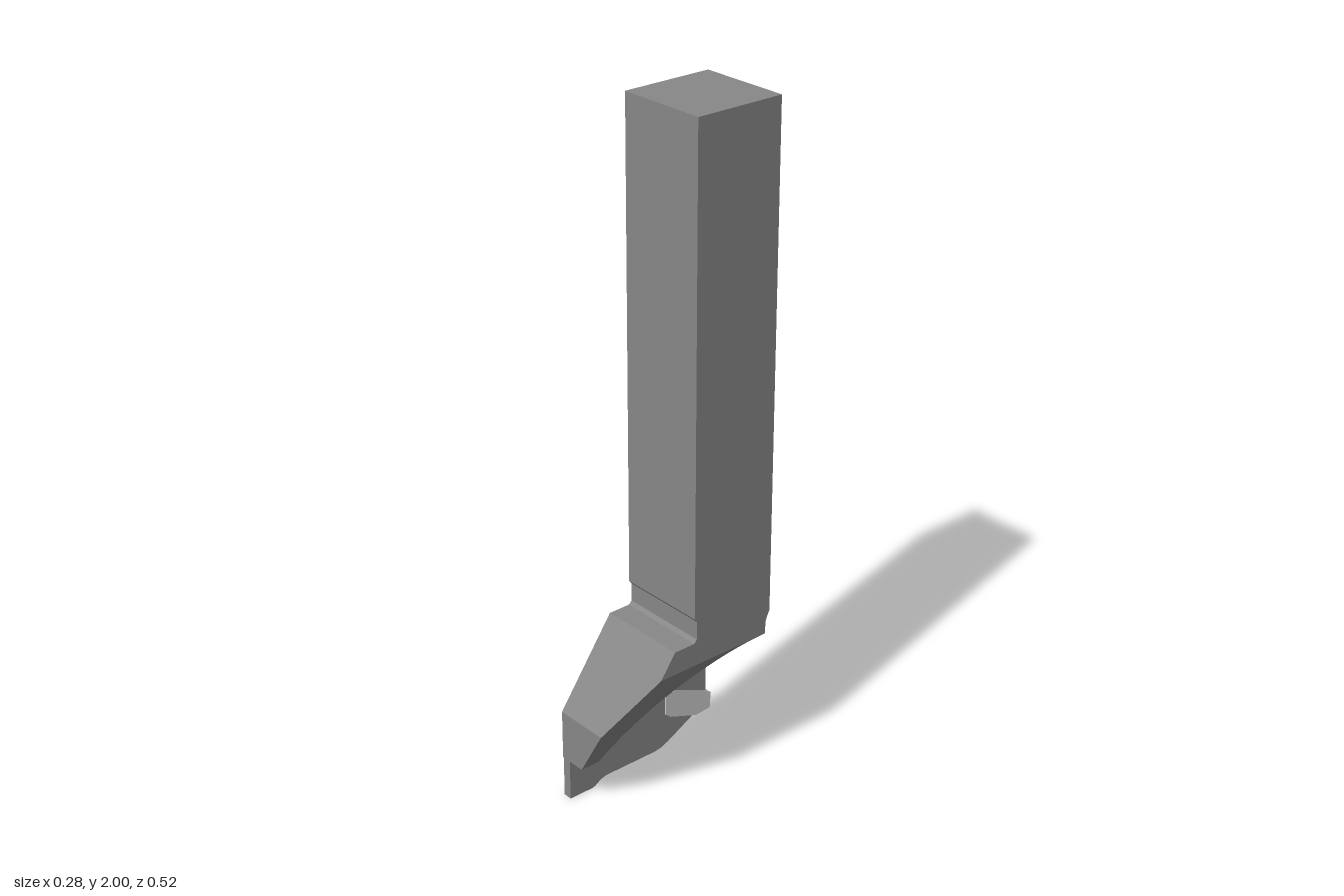
import * as THREE from 'three';
import { toCreasedNormals } from 'three/addons/utils/BufferGeometryUtils.js';
import { ParametricGeometry } from 'three/addons/geometries/ParametricGeometry.js';

const LEFT = 0.137, RIGHT = -0.138;        // width of the shank
const BLADE_OUT = -0.135, BLADE_IN = -0.108; // thin blade faces
const ARC = { z: -0.24, y: -0.003, r: 0.458, a0: 0.283, a1: Math.PI / 2 };

// Point of the pocket arc, as [z, y]
const arcPoint = (t, r = ARC.r) => {
  const a = THREE.MathUtils.lerp(ARC.a0, ARC.a1, t);
  return [ARC.z + r * Math.cos(a), ARC.y + r * Math.sin(a)];
};
const arcPoints = Array.from({ length: 33 }, (_, i) => arcPoint(i / 32));

// Sloping underside of the head: x limit at height y
const slopeX = (y) => LEFT - 0.192 * (0.455 - y) / 0.33;

// Side profile of [z, y] points, extruded across x; farX may tilt the far face
function slab(name, profile, x0, x1, material, farX) {
  const shape = new THREE.Shape(profile.map(([z, y]) => new THREE.Vector2(-z, y)));
  const geo = new THREE.ExtrudeGeometry(shape, { depth: x1 - x0, bevelEnabled: false });
  geo.rotateY(Math.PI / 2).translate(x0, 0, 0);
  if (farX) {
    const p = geo.attributes.position;
    for (let i = 0; i < p.count; i++) {
      if (p.getX(i) > (x0 + x1) / 2) p.setX(i, farX(p.getY(i)));
    }
  }
  const mesh = new THREE.Mesh(toCreasedNormals(geo, 0.4), material);
  mesh.name = name;
  return mesh;
}

export function createModel() {
  const group = new THREE.Group();
  group.name = 'partingToolHolder';
  const steel = new THREE.MeshStandardMaterial({ color: 0x888888 });
  const carbide = new THREE.MeshStandardMaterial({ color: 0xcccccc });

  // Square shank with the clamp shoulder at its foot
  group.add(slab('shank', [
    [0.015, 2], [0.015, 0.6], [0.007, 0.59], [0.007, 0.535], [0.017, 0.525],
    [0.085, 0.525], [0.134, 0.455], [-0.245, 0.455], [-0.246, 0.49],
    [-0.25, 0.505], [-0.26, 0.525], [-0.26, 2],
  ], RIGHT, LEFT, steel));

  // Tapering head outside the round pocket
  group.add(slab('head', [
    [0.134, 0.455], [0.26, 0.275], [0.26, 0.125], ...arcPoints,
  ], RIGHT, LEFT, steel, slopeX));

  // Thin blade inside the pocket
  group.add(slab('blade', [
    [0.26, 0.125], ...arcPoints, [-0.245, 0.455], [-0.245, 0.142], [-0.2, 0.088],
    [-0.1, 0.035], [-0.075, 0.025], [-0.05, 0.021], [0.13, 0.021], [0.15, 0.016],
    [0.17, 0.003], [0.18, 0], [0.26, 0],
  ], BLADE_OUT, BLADE_IN, steel));

  // Rounded corner between pocket wall and blade
  const f = 0.016;
  const fillet = new THREE.Mesh(new ParametricGeometry((u, v, out) => {
    const b = v * Math.PI / 2;
    const [z, y] = arcPoint(u, ARC.r - f * (1 - Math.sin(b)));
    out.set(BLADE_IN + f * (1 - Math.cos(b)), y, z);
  }, 32, 5), new THREE.MeshStandardMaterial({ color: 0x888888, side: THREE.DoubleSide }));
  fillet.name = 'pocketFillet';
  group.add(fillet);

  // Cutting insert, slightly wider than the blade
  group.add(slab('cuttingInsert', [
    [-0.09, 0.192], [-0.096, 0.199], [-0.12, 0.2], [-0.245, 0.148], [-0.262, 0.138],
    [-0.258, 0.087], [-0.205, 0.083], [-0.11, 0.117], [-0.09, 0.132],
  ], -0.1395, -0.104, carbide));

  return group;
}
